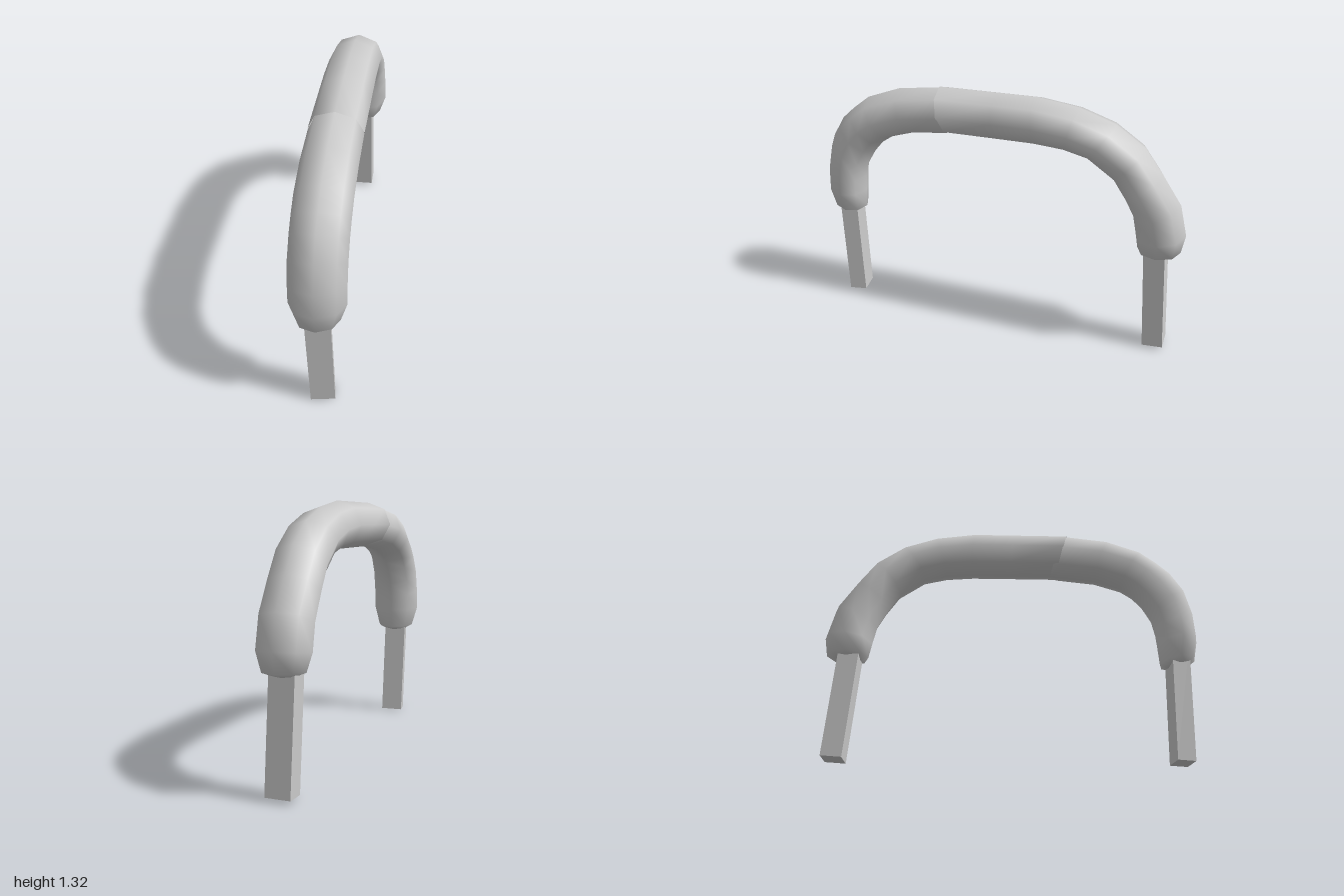
import * as THREE from 'three';

const SIDES = 8;
const grey = new THREE.MeshStandardMaterial({ color: 0xcccccc, side: THREE.DoubleSide });

// Smooth octagonal tube; each ring is [outer z, outer y, inner z, inner y, half width]
function makeTube(name, rings, skew) {
  const pos = [], index = [];
  rings.forEach(([zo, yo, zi, yi, w], i) => {
    const cz = (zo + zi) / 2, cy = (yo + yi) / 2;
    for (let j = 0; j < SIDES; j++) {
      const a = (j / SIDES) * Math.PI * 2;
      const c = Math.cos(a), x = w * Math.sin(a);
      // the lower end of the bend is turned slightly
      const turn = skew * THREE.MathUtils.smoothstep(1.05 - cy, 0, 0.25);
      pos.push(x, cy + (yo - cy) * c, cz + (zo - cz) * c - turn * x);
      if (i < rings.length - 1) {
        const p = i * SIDES + j, q = i * SIDES + (j + 1) % SIDES;
        index.push(p, q, p + SIDES, q, q + SIDES, p + SIDES);
      }
    }
  });
  const geo = new THREE.BufferGeometry();
  geo.setAttribute('position', new THREE.Float32BufferAttribute(pos, 3));
  geo.setIndex(index);
  geo.computeVertexNormals();
  const mesh = new THREE.Mesh(geo, grey);
  mesh.name = name;
  return mesh;
}

// Square post running from a bottom centre to a top centre
function makeLeg(name, bottom, top, width, depth, yaw) {
  const a = new THREE.Vector3(...bottom), b = new THREE.Vector3(...top);
  const dir = b.clone().sub(a);
  const mesh = new THREE.Mesh(new THREE.BoxGeometry(width, dir.length(), depth), grey);
  mesh.position.copy(a).add(b).multiplyScalar(0.5);
  mesh.quaternion.setFromUnitVectors(new THREE.Vector3(0, 1, 0), dir.normalize());
  mesh.rotateY(yaw);
  mesh.name = name;
  return mesh;
}

export function createModel() {
  const group = new THREE.Group();
  group.name = 'bentHandle';

  // front bend, from its rounded lower end up to the joint
  group.add(makeTube('frontBend', [
    [0.89, 0.515, 0.88, 0.515, 0.005],
    [0.935, 0.53, 0.83, 0.525, 0.06],
    [0.975, 0.56, 0.79, 0.545, 0.105],
    [0.997, 0.67, 0.783, 0.65, 0.135],
    [0.99, 0.81, 0.776, 0.735, 0.135],
    [0.955, 0.96, 0.757, 0.82, 0.135],
    [0.89, 1.07, 0.71, 0.9, 0.135],
    [0.82, 1.135, 0.66, 0.96, 0.135],
    [0.725, 1.21, 0.6, 1.0, 0.135],
    [0.54, 1.28, 0.46, 1.045, 0.135],
    [0.32, 1.31, 0.265, 1.068, 0.134],
    [0.24, 1.31, 0.22, 1.075, 0.125],
  ], 0.08));

  // straight grip running into the rear bend and its rounded lower end
  group.add(makeTube('gripAndRearBend', [
    [0.315, 1.315, 0.26, 1.075, 0.135],
    [0, 1.32, 0, 1.078, 0.135],
    [-0.2, 1.323, -0.22, 1.08, 0.135],
    [-0.42, 1.294, -0.36, 1.073, 0.135],
    [-0.607, 1.23, -0.473, 1.05, 0.135],
    [-0.757, 1.128, -0.607, 0.957, 0.135],
    [-0.853, 1.0, -0.67, 0.86, 0.135],
    [-0.955, 0.85, -0.725, 0.75, 0.135],
    [-0.997, 0.684, -0.745, 0.655, 0.135],
    [-0.98, 0.583, -0.76, 0.575, 0.105],
    [-0.92, 0.56, -0.81, 0.562, 0.06],
    [-0.87, 0.55, -0.86, 0.55, 0.005],
  ], 0));

  group.add(makeLeg('frontLeg', [0.012, 0.005, 0.867], [-0.005, 0.65, 0.888], 0.122, 0.095, 0.15));
  group.add(makeLeg('rearLeg', [0.005, 0.018, -0.897], [-0.005, 0.65, -0.85], 0.125, 0.108, 0));
  return group;
}
